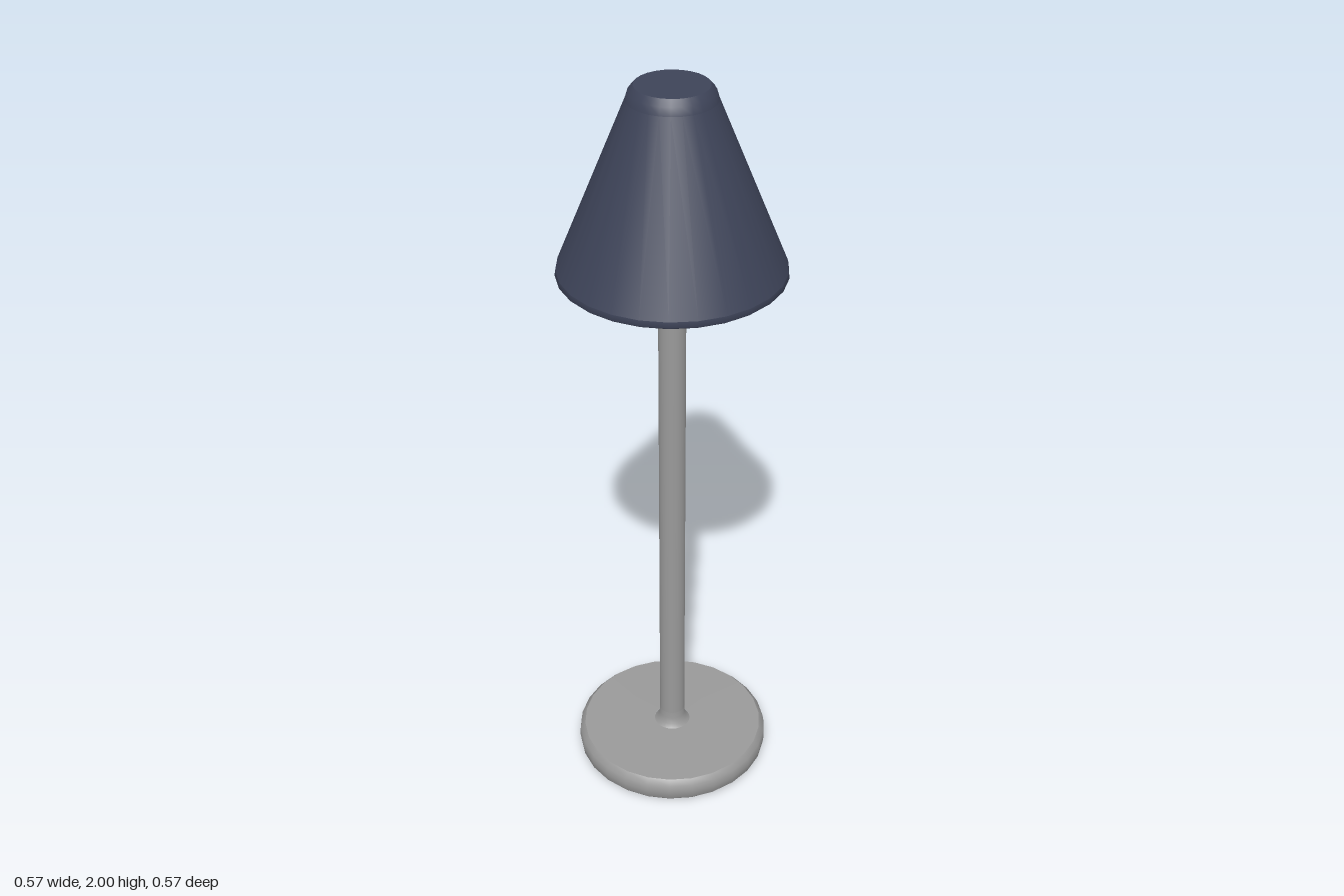
import * as THREE from 'three';

const SIDES = 26;

export function createModel() {
  const model = new THREE.Group();
  const grey = new THREE.MeshStandardMaterial({ color: 0x999999 });
  grey.name = 'metal grey';
  const navy = new THREE.MeshStandardMaterial({ color: 0x3d4358 });
  navy.name = 'shade navy';

  // Each profile is one smooth band; edges between bands stay sharp.
  function turned(name, material, profiles) {
    const part = new THREE.Group();
    part.name = name;
    for (const profile of profiles) {
      const points = profile.map(([r, y]) => new THREE.Vector2(r, y));
      const mesh = new THREE.Mesh(new THREE.LatheGeometry(points, SIDES), material);
      mesh.name = name + 'Surface';
      part.add(mesh);
    }
    model.add(part);
  }

  // Round foot with a softened rim
  turned('base', grey, [
    [[0, 0], [0.255, 0]],
    [[0.255, 0], [0.265, 0.012], [0.268, 0.035], [0.265, 0.056], [0.252, 0.07]],
    [[0.252, 0.07], [0.05, 0.073]],
  ]);

  // Pole with a flared collar, reaching up inside the shade
  turned('pole', grey, [
    [[0.05, 0.072], [0.04, 0.082], [0.036, 0.1], [0.035, 0.12]],
    [[0.035, 0.12], [0.035, 1.95]],
  ]);

  // Hollow cone shade: inner ceiling, inner wall, lip, outer wall, crown
  turned('shade', navy, [
    [[0, 1.95], [0.075, 1.95]],
    [[0.075, 1.95], [0.24, 1.52]],
    [[0.24, 1.52], [0.278, 1.52]],
    [[0.278, 1.52], [0.285, 1.526], [0.283, 1.54]],
    [[0.283, 1.54], [0.109, 1.965]],
    [[0.109, 1.965], [0.103, 1.985], [0.09, 2]],
    [[0.09, 2], [0, 2]],
  ]);

  return model;
}
